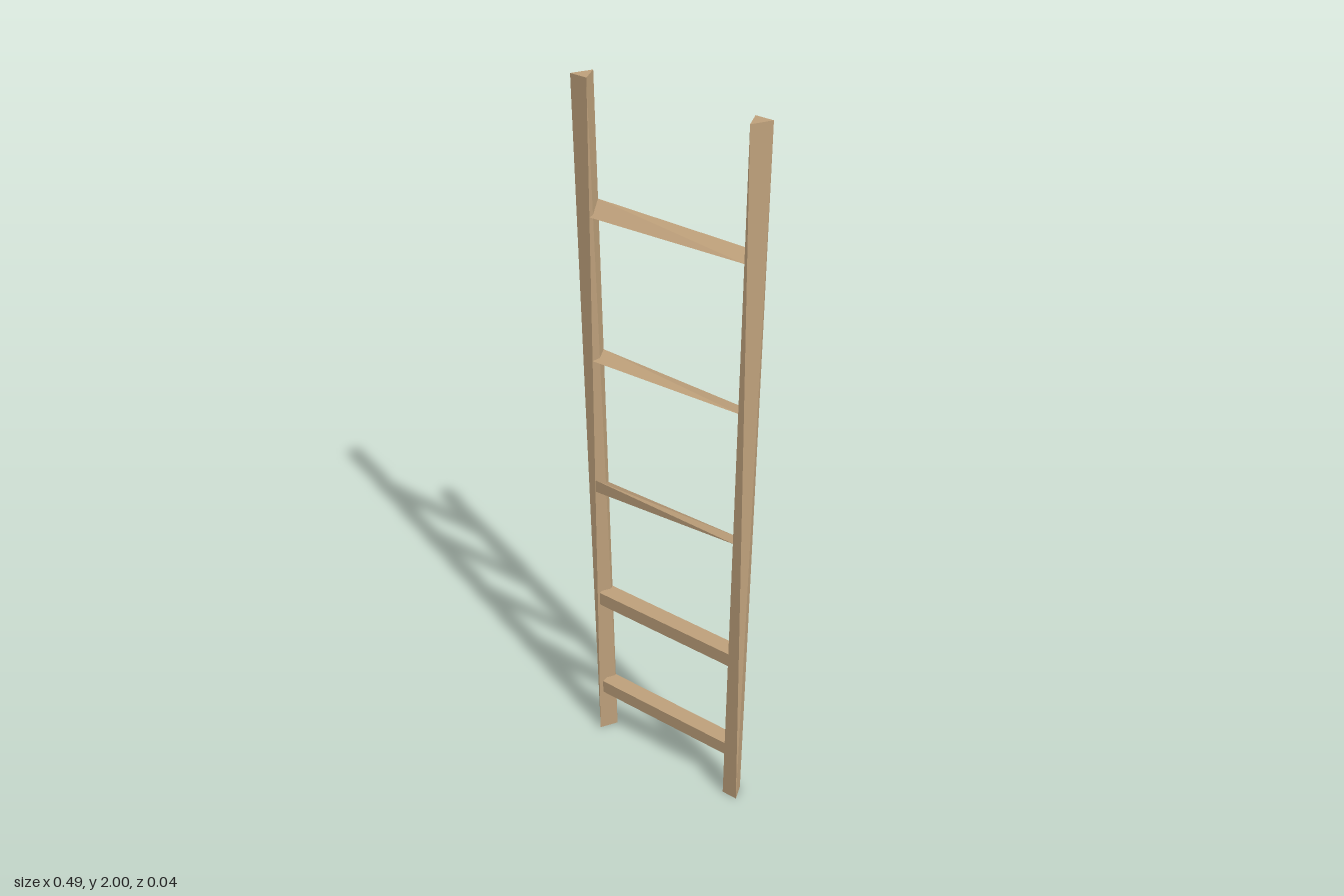
import * as THREE from 'three';
import { ConvexGeometry } from 'three/addons/geometries/ConvexGeometry.js';

const D = 0.022; // half depth of the ladder
const X = 0.214; // half length of the rungs

export function createModel() {
  const ladder = new THREE.Group();
  ladder.name = 'ladder';
  const wood = new THREE.MeshStandardMaterial({ color: 0xc0a27c, flatShading: true });

  // Faceted solid spanned by a few corners
  const addSolid = (name, corners) => {
    const mesh = new THREE.Mesh(new ConvexGeometry(corners.map((c) => new THREE.Vector3(...c))), wood);
    mesh.name = name;
    ladder.add(mesh);
    return mesh;
  };

  // Rails: triangular ends, the upper one turned half a turn against the lower
  for (const [name, turn] of [['rightRail', 0], ['leftRail', Math.PI]]) {
    addSolid(name, [
      [-0.244, 2, D], [-0.2, 2, D], [-0.215, 2, -D],
      [-0.244, 0, -D], [-0.2, 0, -D], [-0.229, 0, D],
    ]).rotation.y = turn;
  }

  // Lower rungs: square bars
  for (const y of [0.176, 0.51]) {
    const rung = new THREE.Mesh(new THREE.BoxGeometry(2 * X, 0.042, 2 * D), wood);
    rung.name = 'lowerRung';
    rung.position.y = y;
    ladder.add(rung);
  }

  // Middle rung: a wedge that thins out towards +x
  addSolid('middleRung', [
    [-X, 0.915, D], [-X, 0.878, D], [-X, 0.886, -D],
    [X, 0.904, D], [X, 0.89, -D],
  ]);

  // Fourth rung: a thin twisted slat
  addSolid('twistedRung', [
    [-X, 1.279, D], [-X, 1.291, -D],
    [X, 1.291, D], [X, 1.279, -D],
  ]);

  // Top rung: upright back face, single front edge
  addSolid('topRung', [
    [-X, 1.694, -D], [-X, 1.656, -D], [-X, 1.667, D],
    [X, 1.694, -D], [X, 1.656, -D], [X, 1.681, D],
  ]);

  return ladder;
}
